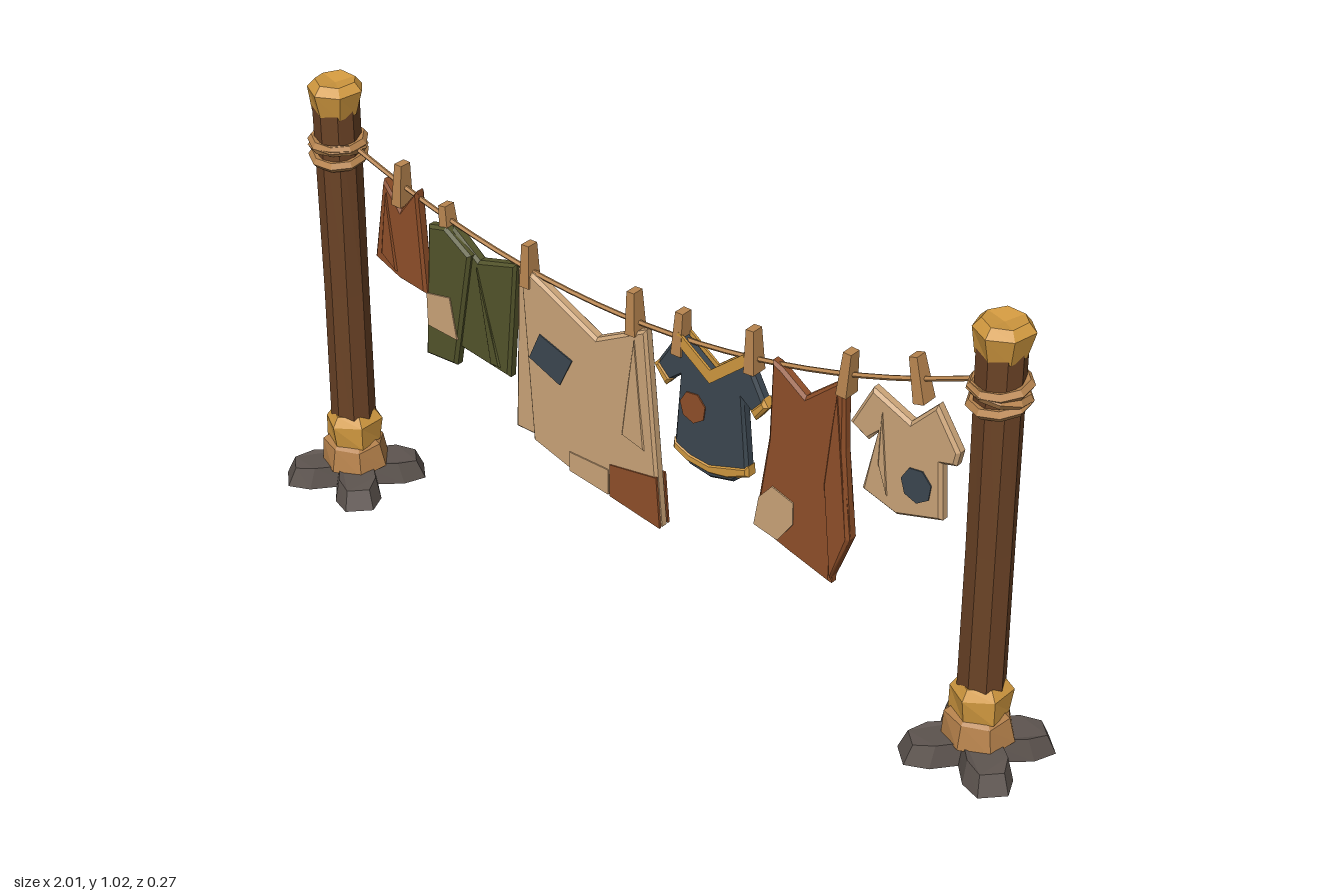
import * as THREE from 'three';

const mat = (name, color) => Object.assign(new THREE.MeshStandardMaterial({ color }), { name });

export function createModel() {
  const model = new THREE.Group();
  model.name = 'clothesline';
  const wood = mat('dark wood', 0x6b4326);
  const paleWood = mat('pale wood', 0xb5814b);
  const gold = mat('ochre', 0xd0983f);
  const stone = mat('grey stone', 0x5d544f);
  const rope = mat('rope tan', 0xb98650);
  const linen = mat('linen', 0xcba478);
  const rust = mat('rust cloth', 0x8f4f29);
  const olive = mat('olive cloth', 0x53542b);
  const slate = mat('slate cloth', 0x3c4750);

  // Unshared vertices give every facet its own flat normal
  function add(parent, name, geometry, material) {
    const g = geometry.index ? geometry.toNonIndexed() : geometry;
    g.computeVertexNormals();
    const mesh = new THREE.Mesh(g, material);
    mesh.name = name;
    parent.add(mesh);
    return mesh;
  }
  // Small repeatable wobble for a hand-hewn look
  function roughen(g, amount) {
    const p = g.attributes.position;
    for (let i = 0; i < p.count; i++) {
      const x = p.getX(i), y = p.getY(i), z = p.getZ(i);
      if (Math.hypot(x, z) < 0.001) continue;
      const a = Math.round(Math.atan2(z, x) * 50) / 50;
      const s = 1 + amount * Math.sin(Math.abs(a) * 7.3 + a * 2 + y * 31);
      p.setXYZ(i, x * s, y + amount * 0.05 * Math.sin(Math.abs(a) * 5 + a), z * s);
    }
    return g;
  }
  const lathe = (points, sides) =>
    roughen(new THREE.LatheGeometry(points.map(p => new THREE.Vector2(...p)), sides), 0.05);
  const shapeOf = points => new THREE.Shape(points.map(p => new THREE.Vector2(...p)));

  // Cloth panel with chamfered rim, centred on z
  function cloth(parent, name, points, material, thick = 0.03, z = 0) {
    const b = 0.007;
    const g = new THREE.ExtrudeGeometry(shapeOf(points), {
      depth: thick - 2 * b, bevelThickness: b, bevelSize: b, bevelOffset: -b, bevelSegments: 1,
    });
    g.translate(0, 0, z - thick / 2 + b);
    return add(parent, name, g, material);
  }
  // Sewn patch on both faces of a panel
  function patch(parent, points, material, half = 0.015, z = 0) {
    for (const side of [1, -1]) {
      const g = new THREE.ExtrudeGeometry(shapeOf(points), { depth: 0.006, bevelEnabled: false });
      g.translate(0, 0, z + side * half - 0.003);
      add(parent, 'patch', g, material);
    }
  }
  const disc = (x, y, r, n = 7) => Array.from({ length: n }, (_, i) => {
    const a = (i / n) * Math.PI * 2 + 0.3;
    return [x + r * Math.cos(a), y + r * 1.1 * Math.sin(a)];
  });
  function group(name) {
    const g = new THREE.Group();
    g.name = name;
    model.add(g);
    return g;
  }

  // Posts with stone feet, collars, caps and rope wraps
  const lobe = [[0, -0.045], [0.11, -0.053], [0.16, -0.032], [0.16, 0.032], [0.11, 0.053], [0, 0.045]];
  for (const side of [-1, 1]) {
    const post = group(side < 0 ? 'rightPost' : 'leftPost');
    post.position.x = side * 0.867;
    for (let i = 0; i < 4; i++) {
      const g = new THREE.ExtrudeGeometry(shapeOf(lobe), { depth: 0.05, bevelEnabled: false });
      g.rotateX(-Math.PI / 2);
      const p = g.attributes.position;
      for (let k = 0; k < p.count; k++) {
        if (p.getY(k) < 0.01) continue;
        p.setXYZ(k, p.getX(k) * 0.88, 0.05 - (p.getX(k) > 0.14 ? 0.006 : 0), p.getZ(k) * 0.8);
      }
      add(post, 'footStone', g, stone).rotation.y = Math.PI / 4 + i * Math.PI / 2;
    }
    add(post, 'lowerCollar', lathe([[0, 0.035], [0.079, 0.045], [0.07, 0.1], [0.055, 0.112], [0, 0.112]], 7), paleWood);
    add(post, 'upperCollar', lathe([[0, 0.1], [0.062, 0.104], [0.066, 0.16], [0.05, 0.182], [0, 0.182]], 6), gold);
    add(post, 'shaft', lathe([[0, 0.1], [0.051, 0.1], [0.05, 0.5], [0.051, 0.97], [0, 0.97]], 8), wood);
    add(post, 'cap', lathe([[0, 0.945], [0.052, 0.945], [0.064, 1.003], [0.047, 1.022], [0, 1.014]], 7), gold);
    [[0.842, 0.1, 0.08], [0.862, -0.12, -0.13], [0.878, 0.06, 0.07]].forEach(([y, rx, rz]) => {
      const g = new THREE.TorusGeometry(0.056, 0.0125, 5, 9);
      g.rotateX(Math.PI / 2);
      const wrap = add(post, 'ropeWrap', g, rope);
      wrap.position.y = y;
      wrap.rotation.set(rx, side * 0.4, side * rz);
    });
  }

  // Sagging line
  const sag = x => 0.705 + 0.25 * x * x;
  const line = new THREE.CatmullRomCurve3(
    Array.from({ length: 13 }, (_, i) => -0.81 + i * 0.135).map(x => new THREE.Vector3(x, sag(x), 0)));
  add(model, 'line', new THREE.TubeGeometry(line, 24, 0.006, 5), rope);

  // Pegs: x, top height, tilt
  [[-0.68, 0.875, -0.05], [-0.548, 0.815, 0.1], [-0.318, 0.795, 0], [-0.03, 0.778, 0.03],
    [0.095, 0.773, -0.04], [0.28, 0.795, 0.03], [0.515, 0.826, -0.08], [0.685, 0.875, 0.22],
  ].forEach(([x, top, tilt]) => {
    const g = new THREE.BoxGeometry(0.026, 0.1, 0.042);
    const p = g.attributes.position;
    for (let i = 0; i < p.count; i++) if (p.getY(i) > 0) p.setXYZ(i, p.getX(i) * 0.75, 0.05, p.getZ(i) * 0.7);
    const peg = add(model, 'peg', g, rope);
    peg.position.set(x, top - 0.05, 0);
    peg.rotation.z = tilt;
  });

  // Small rust rag
  const rag = group('smallRag');
  cloth(rag, 'rag', [[-0.725, 0.826], [-0.76, 0.623], [-0.69, 0.59], [-0.61, 0.575], [-0.628, 0.826], [-0.677, 0.765]], rust);
  cloth(rag, 'ragFold', [[-0.715, 0.8], [-0.74, 0.64], [-0.69, 0.605]], rust, 0.04);

  // Olive trousers
  const trousers = group('trousers');
  cloth(trousers, 'frontLeg', [[-0.59, 0.76], [-0.54, 0.77], [-0.47, 0.72], [-0.52, 0.43], [-0.61, 0.43]], olive, 0.03, 0.008);
  cloth(trousers, 'rearLeg', [[-0.53, 0.77], [-0.455, 0.71], [-0.35, 0.735], [-0.375, 0.445], [-0.525, 0.475]], olive, 0.03, -0.004);
  cloth(trousers, 'trouserFold', [[-0.46, 0.7], [-0.43, 0.46], [-0.395, 0.46]], olive, 0.038, -0.004);
  patch(trousers, [[-0.597, 0.59], [-0.53, 0.6], [-0.512, 0.5], [-0.596, 0.51]], linen, 0.015, 0.008);

  // Large sheet with a folded edge
  const sheet = group('sheet');
  cloth(sheet, 'sheet', [[-0.335, 0.73], [-0.3, 0.73], [-0.125, 0.635], [0.008, 0.7], [0.05, 0.225],
    [-0.09, 0.255], [-0.2, 0.275], [-0.307, 0.313]], linen);
  cloth(sheet, 'foldedEdge', [[-0.355, 0.725], [-0.37, 0.318], [-0.275, 0.313], [-0.31, 0.73]], linen, 0.022, -0.012);
  cloth(sheet, 'sheetFold', [[-0.02, 0.675], [0.01, 0.4], [-0.06, 0.42]], linen, 0.036);
  patch(sheet, [[-0.31, 0.525], [-0.28, 0.592], [-0.19, 0.557], [-0.225, 0.485]], slate);
  patch(sheet, [[-0.088, 0.335], [0.04, 0.35], [0.05, 0.225], [-0.088, 0.255]], rust);
  patch(sheet, [[-0.2, 0.325], [-0.092, 0.32], [-0.092, 0.257], [-0.2, 0.277]], linen);

  // Slate shirt with ochre trim
  const shirt = group('slateShirt');
  cloth(shirt, 'shirtBody', [[0.095, 0.725], [0.032, 0.628], [0.062, 0.592], [0.1, 0.625], [0.085, 0.45], [0.125, 0.415],
    [0.18, 0.403], [0.24, 0.415], [0.28, 0.45], [0.262, 0.625], [0.297, 0.592], [0.325, 0.625], [0.27, 0.73], [0.18, 0.66]], slate);
  cloth(shirt, 'hemBand', [[0.085, 0.468], [0.13, 0.447], [0.18, 0.44], [0.28, 0.468], [0.282, 0.443],
    [0.23, 0.42], [0.18, 0.413], [0.12, 0.422], [0.082, 0.443]], gold, 0.036);
  cloth(shirt, 'cuff', [[0.03, 0.63], [0.045, 0.645], [0.08, 0.608], [0.062, 0.588]], gold, 0.036);
  cloth(shirt, 'cuff', [[0.328, 0.627], [0.315, 0.645], [0.28, 0.608], [0.297, 0.588]], gold, 0.036);
  for (const [x, y] of [[0.098, 0.73], [0.265, 0.735]]) {
    const inward = Math.sign(0.18 - x) * 0.022;
    patch(shirt, [[x, y], [0.18, 0.668], [0.18, 0.636], [x - inward * 0.5, y - 0.022]], gold);
  }
  patch(shirt, disc(0.137, 0.562, 0.034), rust);

  // Long rust cloth
  const towel = group('rustTowel');
  cloth(towel, 'towel', [[0.335, 0.745], [0.36, 0.735], [0.42, 0.69], [0.515, 0.765], [0.52, 0.6], [0.54, 0.39],
    [0.498, 0.4], [0.497, 0.265], [0.39, 0.3], [0.297, 0.334], [0.33, 0.56]], rust);
  cloth(towel, 'towelFold', [[0.5, 0.73], [0.54, 0.39], [0.495, 0.275], [0.47, 0.5]], rust, 0.036);
  patch(towel, [[0.312, 0.41], [0.345, 0.448], [0.4, 0.428], [0.4, 0.375], [0.362, 0.322], [0.3, 0.338]], linen);

  // Linen shirt
  const small = group('linenShirt');
  cloth(small, 'shirtBody', [[0.582, 0.77], [0.53, 0.672], [0.575, 0.645], [0.598, 0.672], [0.565, 0.527], [0.65, 0.497],
    [0.76, 0.525], [0.752, 0.655], [0.785, 0.662], [0.792, 0.695], [0.735, 0.785], [0.675, 0.725]], linen);
  cloth(small, 'shirtFold', [[0.61, 0.73], [0.6, 0.6], [0.63, 0.53]], linen, 0.037);
  patch(small, disc(0.698, 0.587, 0.037), slate);

  return model;
}
